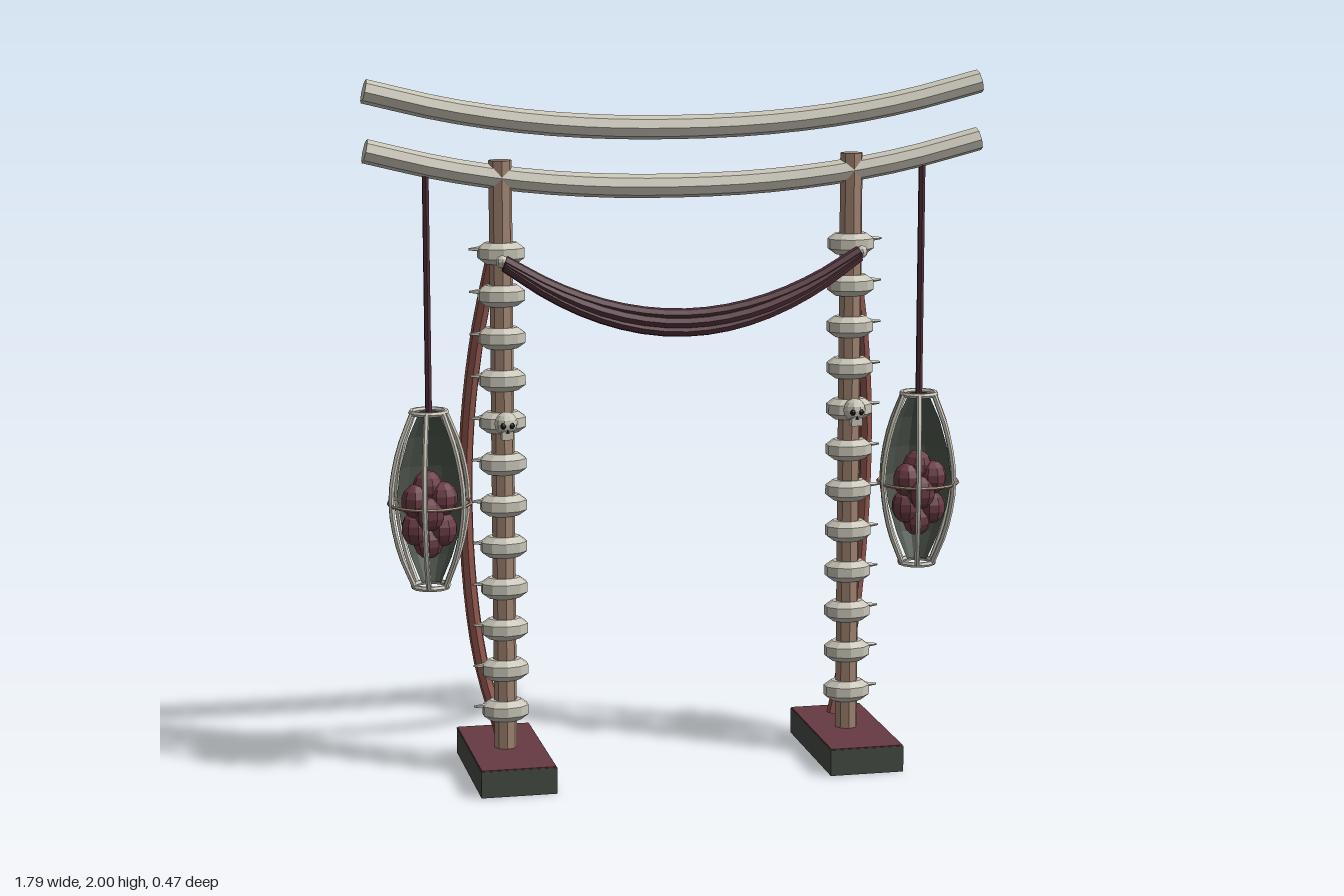
import * as THREE from 'three';

const mat = (name, color, double = false) => {
  const m = new THREE.MeshStandardMaterial({ color, flatShading: true });
  m.name = name;
  if (double) m.side = THREE.DoubleSide;
  return m;
};
const V = (x, y, z) => new THREE.Vector3(x, y, z);

export function createModel() {
  const bone = mat('bone', 0xc9c5b8);
  const wood = mat('wood', 0xa08472);
  const stone = mat('darkStone', 0x444a42);
  const maroon = mat('maroon', 0x683a43);
  const cloth = mat('darkCloth', 0x52303a);
  const sinew = mat('sinew', 0x92574f);
  const husk = mat('husk', 0x4e564d, true);
  const hollow = mat('hollow', 0x1d1c1b);

  const root = new THREE.Group();
  const add = (parent, name, geo, material, x = 0, y = 0, z = 0) => {
    const m = new THREE.Mesh(geo, material);
    m.name = name;
    m.position.set(x, y, z);
    parent.add(m);
    return m;
  };
  // Closed tube along a smooth path
  const rope = (parent, name, pts, r, material, seg = 16, sides = 8) => {
    const curve = new THREE.CatmullRomCurve3(pts);
    const g = add(parent, name, new THREE.TubeGeometry(curve, seg, r, sides), material);
    [0, 1].forEach((t) => {
      const cap = add(g, name + 'End', new THREE.CircleGeometry(r, sides), material);
      cap.position.copy(curve.getPoint(t));
      const dir = curve.getTangent(t).multiplyScalar(t ? 1 : -1);
      cap.quaternion.setFromUnitVectors(V(0, 0, 1), dir);
    });
    return g;
  };

  // Two upswept beams
  [['upperBeam', 1.852], ['lowerBeam', 1.687]].forEach(([name, y]) => {
    const pts = [];
    for (let i = -4; i <= 4; i++) {
      const t = i / 4;
      pts.push(V(0.885 * t, y + 0.115 * Math.pow(Math.abs(t), 2.2), 0));
    }
    rope(root, name, pts, 0.034, bone, 20, 8);
  });

  // Shared geometry for the pillars
  const ringGeo = new THREE.LatheGeometry([
    [0.03, -0.03], [0.046, -0.03], [0.068, -0.014], [0.068, 0.014], [0.046, 0.03], [0.03, 0.03],
  ].map(([r, y]) => new THREE.Vector2(r, y)), 10);
  const spikeGeo = new THREE.CylinderGeometry(0.003, 0.011, 0.05, 5).rotateZ(-Math.PI / 2);

  // Small skull facing the front
  const makeSkull = () => {
    const s = new THREE.Group();
    s.name = 'skull';
    add(s, 'cranium', new THREE.SphereGeometry(0.033, 10, 8), bone, 0, 0.005, 0);
    add(s, 'jaw', new THREE.BoxGeometry(0.032, 0.024, 0.03), bone, 0, -0.026, 0.014);
    [-1, 1].forEach((k) =>
      add(s, 'eyeSocket', new THREE.SphereGeometry(0.009, 6, 5), hollow, 0.012 * k, 0.002, 0.027));
    add(s, 'noseHole', new THREE.ConeGeometry(0.005, 0.01, 4), hollow, 0, -0.013, 0.03);
    return s;
  };

  // Hanging pod: bone cage, open husk and a fleshy core
  const makePod = () => {
    const p = new THREE.Group();
    p.name = 'hangingPod';
    add(p, 'hangingCord', new THREE.CylinderGeometry(0.01, 0.01, 0.68, 6), cloth, 0, 0.585, 0);
    const profile = [[0.028, -0.245], [0.06, -0.17], [0.088, -0.08], [0.1, 0], [0.09, 0.08], [0.064, 0.17], [0.028, 0.25]]
      .map(([r, y]) => new THREE.Vector2(r, y));
    add(p, 'husk', new THREE.LatheGeometry(profile, 6, Math.PI / 3, Math.PI), husk);
    const lumps = [[-0.045, 0.02, 0.045], [0.03, 0.025, 0.045], [-0.01, -0.015, 0.06], [-0.045, -0.06, 0.035],
      [0.03, -0.065, 0.035], [-0.01, -0.1, 0.03], [-0.01, 0.055, 0.03], [-0.01, -0.03, 0.01]];
    lumps.forEach(([x, y, z], i) => {
      const m = add(p, 'fleshLump', new THREE.SphereGeometry(0.043, 9, 7), maroon, x, y - 0.015, z);
      m.scale.y = 1.15;
      m.rotation.y = i;
    });
    for (let i = 0; i < 6; i++) {
      const a = -0.26 + i * Math.PI / 3;
      const pts = [[0.05, -0.25], [0.095, -0.14], [0.118, 0], [0.095, 0.14], [0.05, 0.25]]
        .map(([r, y]) => V(r * Math.sin(a), y, r * Math.cos(a)));
      rope(p, 'cageRib', pts, 0.008, bone, 12, 6);
    }
    [-0.25, 0.25].forEach((y) =>
      add(p, 'cageEndRing', new THREE.TorusGeometry(0.05, 0.008, 6, 12).rotateX(Math.PI / 2), bone, 0, y, 0));
    add(p, 'cageBand', new THREE.TorusGeometry(0.117, 0.005, 5, 18).rotateX(Math.PI / 2), wood, 0, -0.01, 0);
    return p;
  };

  [-1, 1].forEach((s) => {
    const side = new THREE.Group();
    side.name = s > 0 ? 'leftSide' : 'rightSide';
    root.add(side);
    const px = 0.507 * s;

    // Foot block with coloured top
    add(side, 'foot', new THREE.BoxGeometry(0.216, 0.076, 0.468), stone, px, 0.038, 0);
    add(side, 'footTop', new THREE.BoxGeometry(0.212, 0.004, 0.464), maroon, px, 0.077, 0);
    add(side, 'pillar', new THREE.CylinderGeometry(0.033, 0.033, 1.695, 8), wood, px, 0.922, 0);

    // Stacked vertebrae with outward spurs
    for (let i = 0; i < 12; i++) {
      const y = 0.19 + i * 0.12;
      add(side, 'vertebra', ringGeo, bone, px, y, 0).scale.z = 0.74;
      const spur = add(side, 'spur', spikeGeo, bone, px + 0.066 * s, y + 0.012, 0);
      if (s < 0) spur.rotation.y = Math.PI;
    }
    const skull = makeSkull();
    skull.position.set(px, 1.03, 0.06);
    side.add(skull);

    // Bowed brace behind the pillar
    rope(side, 'bowedBrace', [
      V(0.52 * s, 1.5, -0.045), V(0.565 * s, 1.25, -0.085), V(0.592 * s, 0.95, -0.125),
      V(0.588 * s, 0.6, -0.15), V(0.555 * s, 0.3, -0.145), V(0.5 * s, 0.085, -0.115),
    ], 0.021, sinew, 20, 7);

    const pod = makePod();
    pod.position.set(0.717 * s, 0.815, 0);
    side.add(pod);
    add(side, 'drapePin', new THREE.SphereGeometry(0.018, 8, 6), bone, 0.517 * s, 1.495, 0.082);
  });

  // Draped cloth made of gathered strands
  [[1.335, 0.106], [1.312, 0.114], [1.288, 0.11]].forEach(([low, z], k) => {
    const pts = [];
    for (let i = -4; i <= 4; i++) {
      const t = i / 4;
      pts.push(V(0.51 * t, low + (1.497 - k * 0.007 - low) * t * t, z + (0.085 - z) * t * t));
    }
    rope(root, 'drapeStrand', pts, 0.017, cloth, 18, 7);
  });

  return root;
}
